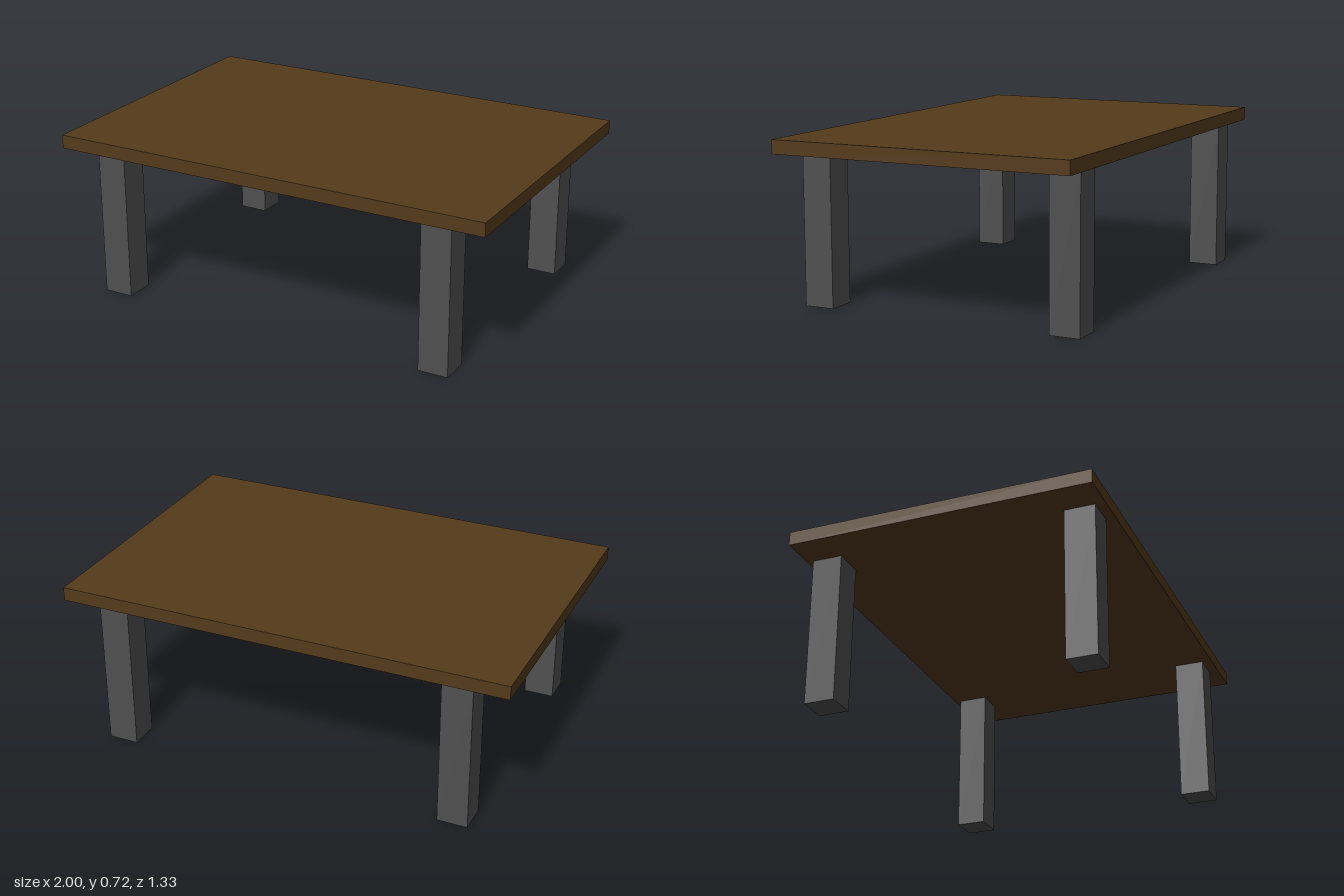
import * as THREE from 'three';

const TOP_Y = 0.66;      // underside of the table top
const HEIGHT = 0.72;
const LEG = 0.133;       // leg thickness

export function createModel() {
  const table = new THREE.Group();
  table.name = 'table';

  const wood = new THREE.MeshStandardMaterial({ color: 0x553b1b });
  const darkGrey = new THREE.MeshStandardMaterial({ color: 0x505050 });

  // Flat rectangular top
  const top = new THREE.Mesh(new THREE.BoxGeometry(2, HEIGHT - TOP_Y, 1.333), wood);
  top.name = 'tableTop';
  top.position.y = (TOP_Y + HEIGHT) / 2;
  table.add(top);

  // Four square legs, set very slightly towards the back
  const legGeometry = new THREE.BoxGeometry(LEG, TOP_Y, LEG);
  for (const [endName, z] of [['front', 0.557], ['back', -0.572]]) {
    for (const [sideName, x] of [['Left', 0.775], ['Right', -0.775]]) {
      const leg = new THREE.Mesh(legGeometry, darkGrey);
      leg.name = `${endName}${sideName}Leg`;
      leg.position.set(x, TOP_Y / 2, z);
      table.add(leg);
    }
  }

  return table;
}
